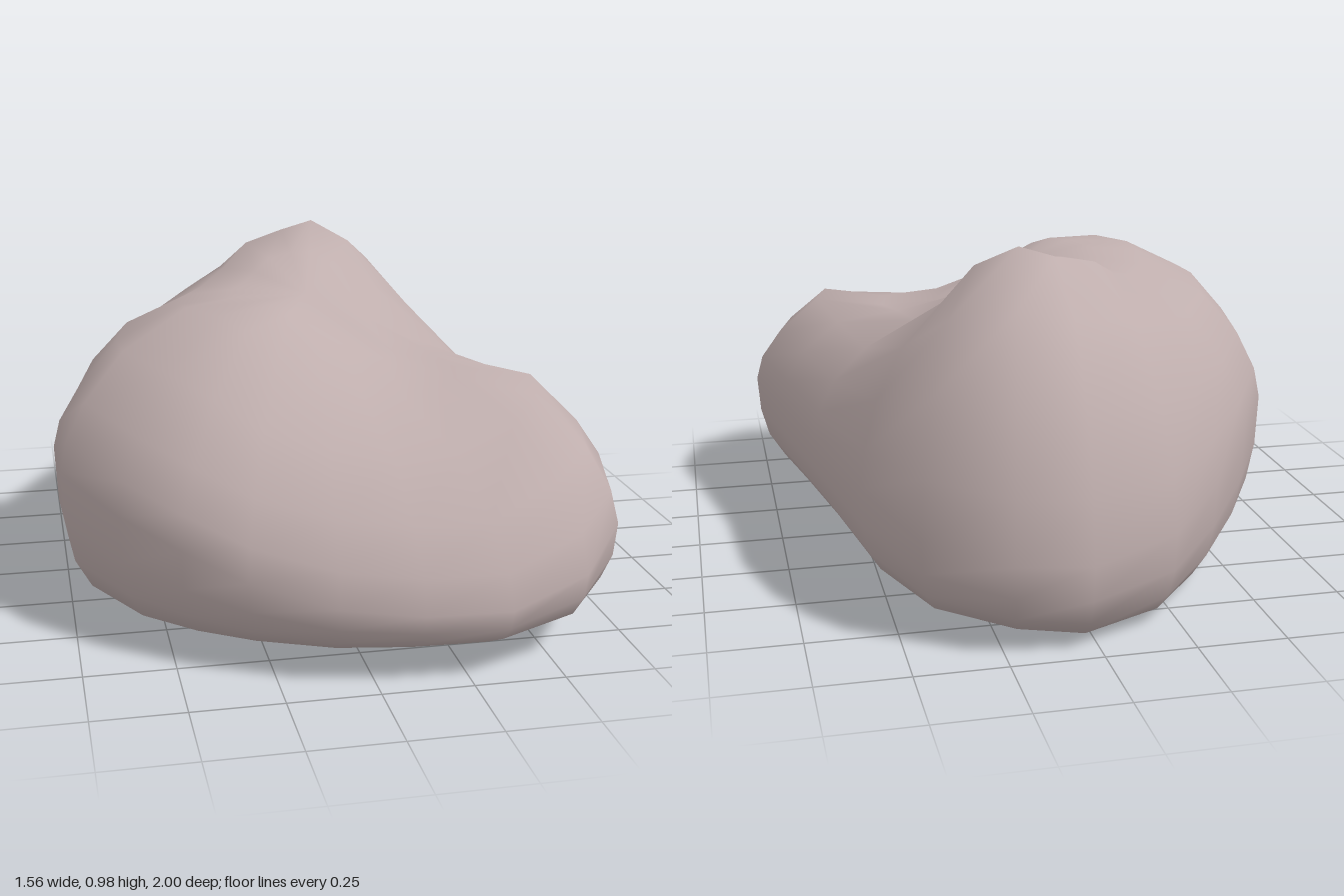
import * as THREE from 'three';

// Outline columns, clockwise from the back:
// [x, z, height of widest point, then surface heights at 0.9, 0.75, 0.5 and 0.3 of the way out]
const columns = [
  [0.03, -1.0, 0.25, 0.62, 0.83, 0.95, 0.91],
  [0.23, -0.98, 0.26, 0.64, 0.86, 0.98, 0.91],
  [0.45, -0.85, 0.3, 0.65, 0.82, 0.92, 0.88],
  [0.57, -0.57, 0.35, 0.58, 0.7, 0.79, 0.81],
  [0.65, -0.1, 0.35, 0.52, 0.61, 0.68, 0.75],
  [0.72, 0.25, 0.36, 0.53, 0.63, 0.67, 0.71],
  [0.78, 0.52, 0.37, 0.54, 0.66, 0.66, 0.69],
  [0.72, 0.77, 0.33, 0.53, 0.65, 0.66, 0.69],
  [0.58, 0.92, 0.25, 0.49, 0.61, 0.65, 0.7],
  [0.35, 1.0, 0.2, 0.41, 0.55, 0.65, 0.73],
  [0.12, 0.99, 0.2, 0.41, 0.55, 0.66, 0.76],
  [-0.1, 0.95, 0.22, 0.43, 0.57, 0.71, 0.8],
  [-0.32, 0.85, 0.27, 0.47, 0.61, 0.77, 0.84],
  [-0.48, 0.74, 0.33, 0.53, 0.68, 0.82, 0.86],
  [-0.63, 0.58, 0.38, 0.58, 0.73, 0.85, 0.86],
  [-0.77, 0.33, 0.43, 0.62, 0.75, 0.85, 0.86],
  [-0.78, 0.15, 0.45, 0.62, 0.75, 0.84, 0.86],
  [-0.71, -0.2, 0.42, 0.62, 0.74, 0.83, 0.85],
  [-0.57, -0.45, 0.38, 0.6, 0.73, 0.83, 0.85],
  [-0.4, -0.7, 0.33, 0.6, 0.76, 0.86, 0.87],
  [-0.22, -0.9, 0.28, 0.6, 0.8, 0.92, 0.9],
];

// Underside: flat at the back, rising to the front and both sides
const underside = (x, z) => Math.max(0, 0.13 * x, -0.05 * x, 0.08 * z - 0.01);

// Profile of one column from underside to crown, as [fraction of outline, height]
function profile([x, z, rim, h90, h75, h50, h30]) {
  // lower points: k is the share of the way up from the underside to the widest point
  const lower = [[0.4, 0], [0.8, 0], [0.9, 0.08], [0.96, 0.3], [0.99, 0.6]].map(([t, k]) => {
    const base = underside(x * t, z * t);
    return [t, base + k * (rim - base)];
  });
  return [
    ...lower, [1, rim], [0.975, rim + 0.45 * (h90 - rim)],
    [0.9, h90], [0.75, h75], [0.5, h50], [0.3, h30],
  ];
}

function boulderGeometry() {
  const n = columns.length;
  const profiles = columns.map(profile);
  const rows = profiles[0].length;
  const positions = [];
  const index = [];

  // Rings of points, then one point for the underside and one for the crown
  for (let r = 0; r < rows; r++) {
    for (let c = 0; c < n; c++) {
      const [t, y] = profiles[c][r];
      positions.push(columns[c][0] * t, y, columns[c][1] * t);
    }
  }
  const bottom = rows * n;
  const top = bottom + 1;
  positions.push(0, 0, 0, 0, 0.84, 0);

  for (let c = 0; c < n; c++) {
    const d = (c + 1) % n;
    for (let r = 0; r < rows - 1; r++) {
      const a = r * n + c, b = r * n + d;
      index.push(a, a + n, b, b, a + n, b + n);
    }
    index.push(bottom, c, d);
    index.push((rows - 1) * n + c, top, (rows - 1) * n + d);
  }

  const geometry = new THREE.BufferGeometry();
  geometry.setAttribute('position', new THREE.Float32BufferAttribute(positions, 3));
  geometry.setIndex(index);
  geometry.computeVertexNormals();
  return geometry;
}

export function createModel() {
  const stone = new THREE.MeshStandardMaterial({ color: 0xbfaead });
  stone.name = 'pinkish grey stone';

  const boulder = new THREE.Mesh(boulderGeometry(), stone);
  boulder.name = 'boulder';

  const model = new THREE.Group();
  model.name = 'rock';
  model.add(boulder);
  return model;
}
